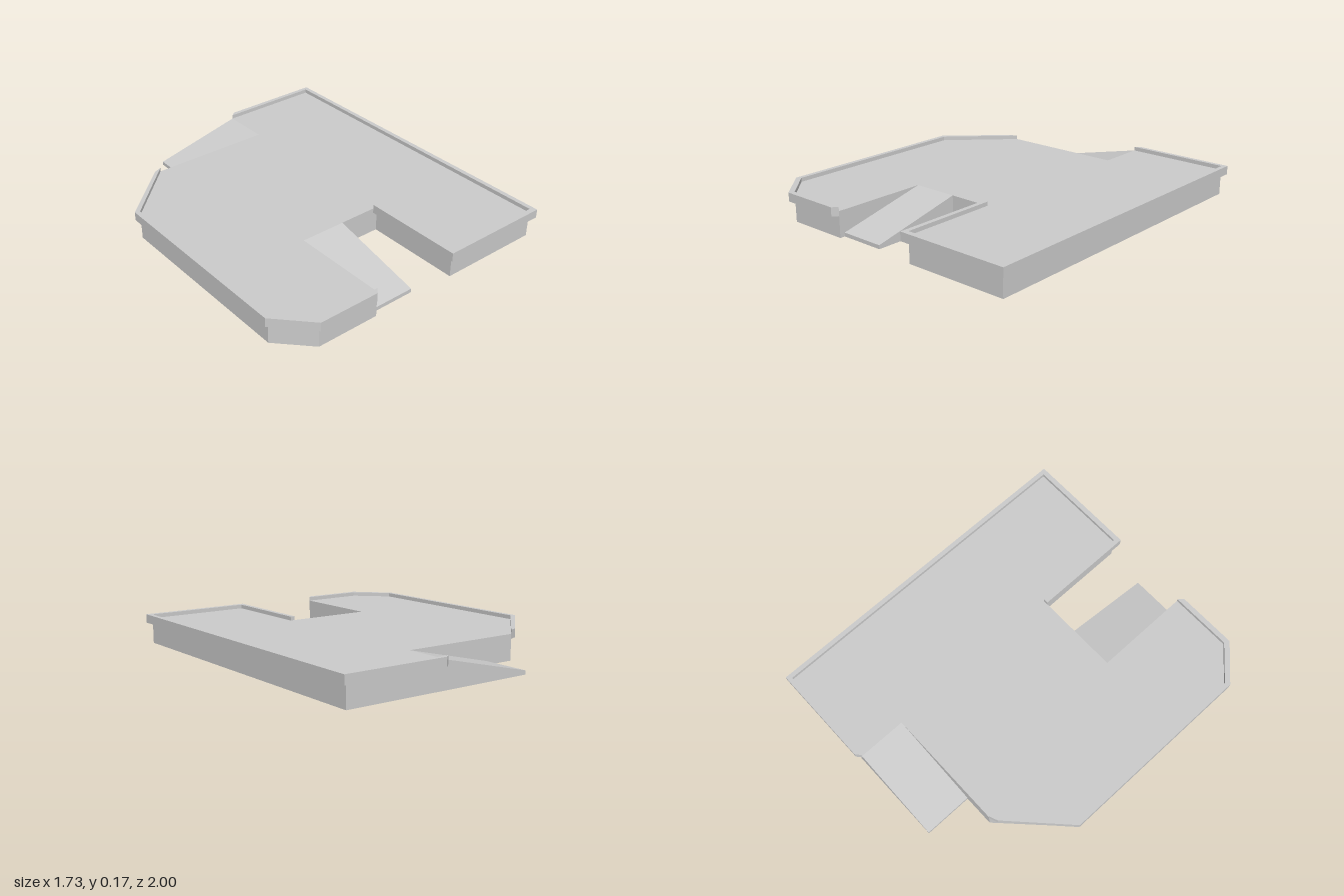
import * as THREE from 'three';

const material = new THREE.MeshStandardMaterial({ color: 0xcccccc, flatShading: true });

const DECK = 0.15, RIM_BOTTOM = 0.122, RIM_TOP = 0.173, TOE = 0.022;

// Extrudes a plan outline given as [x, z] points between two heights
function slab(name, plan, bottom, top) {
  const shape = new THREE.Shape(plan.map(([x, z]) => new THREE.Vector2(x, -z)));
  const geometry = new THREE.ExtrudeGeometry(shape, { depth: top - bottom, bevelEnabled: false });
  geometry.rotateX(-Math.PI / 2).translate(0, bottom, 0);
  const mesh = new THREE.Mesh(geometry, material);
  mesh.name = name;
  return mesh;
}

// Solid wedge running along +x from its high end, with a thin blunt toe
function ramp(name, length, width) {
  const side = new THREE.Shape([
    new THREE.Vector2(0, 0), new THREE.Vector2(length, 0),
    new THREE.Vector2(length, TOE), new THREE.Vector2(0, DECK),
  ]);
  const geometry = new THREE.ExtrudeGeometry(side, { depth: width, bevelEnabled: false });
  geometry.translate(0, 0, -width / 2);
  const mesh = new THREE.Mesh(geometry, material);
  mesh.name = name;
  return mesh;
}

// Rim strip: inner edge on the wall, outer edge overhanging it
const rim = (name, inner, outer) =>
  slab(name, [...inner, ...[...outer].reverse()], RIM_BOTTOM, RIM_TOP);

export function createModel() {
  const group = new THREE.Group();
  group.name = 'platform';

  // Wall edges that carry a rim
  const wallRight = [[0.225, -0.975], [0.837, -0.975], [0.837, 0.97], [0.225, 0.97], [0.225, 0.4]];
  const wallLeft = [[-0.3, 0.97], [-0.67, 0.97], [-0.84, 0.795], [-0.84, -0.355], [-0.5, -0.69]];

  // Platform body with the front slot and the stepped back corner
  group.add(slab('platformBody',
    [...wallRight, [-0.3, 0.4], ...wallLeft, [0.225, -0.69]], 0, DECK));

  // Raised rims along both sides
  group.add(rim('rightRim', wallRight,
    [[0.225, -0.975], [0.255, -1], [0.864, -1], [0.864, 1], [0.198, 1], [0.198, 0.4]]));
  group.add(rim('leftRim', wallLeft,
    [[-0.3, 0.97], [-0.327, 1], [-0.685, 1], [-0.867, 0.81], [-0.867, -0.365], [-0.55, -0.67], [-0.5, -0.69]]));

  // Ramp in the front slot, descending towards the front
  const frontRamp = ramp('frontRamp', 0.54, 0.27);
  frontRamp.rotation.y = -Math.PI / 2;
  frontRamp.position.set(-0.165, 0, 0.4);
  group.add(frontRamp);

  // Ramp along the back wall, descending sideways
  const backRamp = ramp('backRamp', 0.542, 0.285);
  backRamp.rotation.y = Math.PI;
  backRamp.position.set(0.225, 0, -0.8325);
  group.add(backRamp);

  return group;
}
